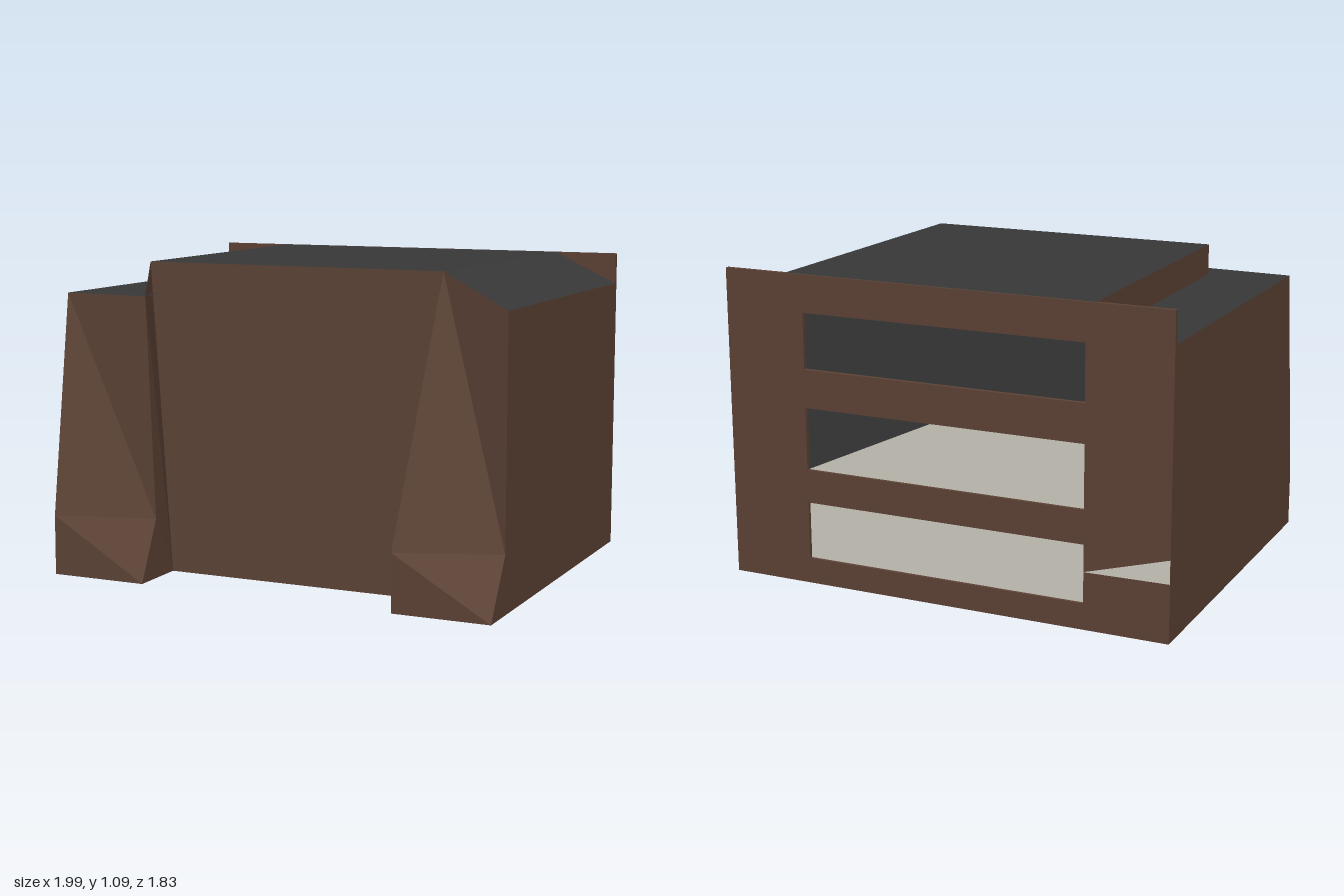
import * as THREE from 'three';

const material = (name, color) =>
  Object.assign(new THREE.MeshStandardMaterial({ color, side: THREE.DoubleSide }), { name });

// Flat-shaded sheet made of polygons; each polygon is fanned from its first corner
function sheet(name, mat, ...polygons) {
  const pos = [];
  for (const p of polygons)
    for (let i = 1; i < p.length - 1; i++) pos.push(...p[0], ...p[i], ...p[i + 1]);
  const geo = new THREE.BufferGeometry();
  geo.setAttribute('position', new THREE.Float32BufferAttribute(pos, 3));
  geo.computeVertexNormals();
  const mesh = new THREE.Mesh(geo, mat);
  mesh.name = name;
  return mesh;
}

export function createModel() {
  const brown = material('brown wood', 0x5d4336);
  const dark = material('dark roof', 0x383838);
  const pale = material('pale grey', 0xcfccc0);
  const model = new THREE.Group();
  model.name = 'slattedShelter';
  const body = new THREE.Group();
  body.name = 'body';
  body.rotation.y = THREE.MathUtils.degToRad(22);
  model.add(body);

  const W = 0.81, back = -0.648, eave = 0.98, top = 1.09;

  // Shared corners of the roof and the two front buttresses
  const ridgeR = [-0.535, top, 0.44], ridgeL = [0.555, top, 0.44];
  const eaveR = [-W, eave, 0.54], eaveL = [W, eave, 0.53];
  const notch = [-0.49, eave, 0.555];
  const rKneeOut = [-W, 0.21, 0.655], rKneeIn = [-0.458, 0.21, 0.56];
  const rFootOut = [-W, 0, 0.657], rFootIn = [-0.46, 0, 0.656], rRoot = [-0.46, 0, 0.445];
  const lKneeIn = [0.468, 0.2, 0.655], lKneeOut = [W, 0.2, 0.53];
  const lFootIn = [0.468, 0, 0.655], lFootOut = [W, 0, 0.655], lRoot = [0.466, 0, 0.446];

  // Walls
  body.add(
    sheet('frontWall', brown, [rRoot, lRoot, ridgeL, ridgeR]),
    sheet('rightWall', brown, [[-W, 0, back], rFootOut, rKneeOut, eaveR, [-W, eave, back]]),
    sheet('leftWall', brown, [[W, 0, back], [W, eave, back], eaveL, lKneeOut, lFootOut]),
  );

  // Front buttresses
  body.add(
    sheet('rightButtress', brown,
      [eaveR, rKneeIn, notch], [eaveR, rKneeOut, rKneeIn],
      [rKneeOut, rFootIn, rKneeIn], [rKneeOut, rFootOut, rFootIn],
      [rRoot, ridgeR, notch, rKneeIn, rFootIn]),
    sheet('leftButtress', brown,
      [ridgeL, lKneeIn, lKneeOut], [ridgeL, lKneeOut, eaveL],
      [lKneeIn, lFootOut, lKneeOut], [lKneeIn, lFootIn, lFootOut],
      [lRoot, lFootIn, lKneeIn, ridgeL]),
  );

  // Roof: low strip, riser, raised flat and sloping side
  const stepLow = [-0.545, eave, back], stepHigh = [-0.545, top, back];
  const riserFoot = [-0.535, eave, 0.44], ridgeBack = [0.58, top, back];
  body.add(
    sheet('lowRoof', dark, [riserFoot, notch, eaveR, [-W, eave, back], stepLow].reverse()),
    sheet('roofRiser', brown, [stepLow, riserFoot, ridgeR, stepHigh]),
    sheet('highRoof', dark, [ridgeR, ridgeL, ridgeBack, stepHigh]),
    sheet('slopingRoof', dark, [ridgeL, eaveL, [W, eave, back], ridgeBack]),
  );

  // Back frame: two posts and four slats
  const board = (name, x0, x1, y0, y1) => {
    const mesh = new THREE.Mesh(new THREE.BoxGeometry(x1 - x0, y1 - y0, 0.016), brown);
    mesh.position.set((x0 + x1) / 2, (y0 + y1) / 2, -0.65);
    mesh.name = name;
    body.add(mesh);
  };
  const inner = 0.513;
  board('rightPost', -W, -inner, 0, top);
  board('leftPost', inner, W, 0, top);
  for (const [y0, y1] of [[0, 0.09], [0.293, 0.41], [0.63, 0.764], [0.96, top]])
    board('backSlat', -inner, inner, y0, y1);

  // Panels behind the slats, and the pale corner showing on one post
  const flat = (z, pts) => pts.map(([x, y]) => [x, y, z]);
  body.add(
    sheet('darkBackPanel', dark,
      flat(-0.642, [[0.52, 0.01], [-0.52, 0.01], [-0.52, 1.07], [0.52, 1.07]])),
    sheet('paleBackPanel', pale,
      flat(-0.646, [[0.52, 0.02], [-0.52, 0.02], [-0.52, 0.68], [0.036, 0.63], [0.52, 0.407]])),
    sheet('palePostCorner', pale,
      flat(-0.66, [[-inner, 0.2], [-W, 0.204], [-W, 0.285]])),
  );
  return model;
}
